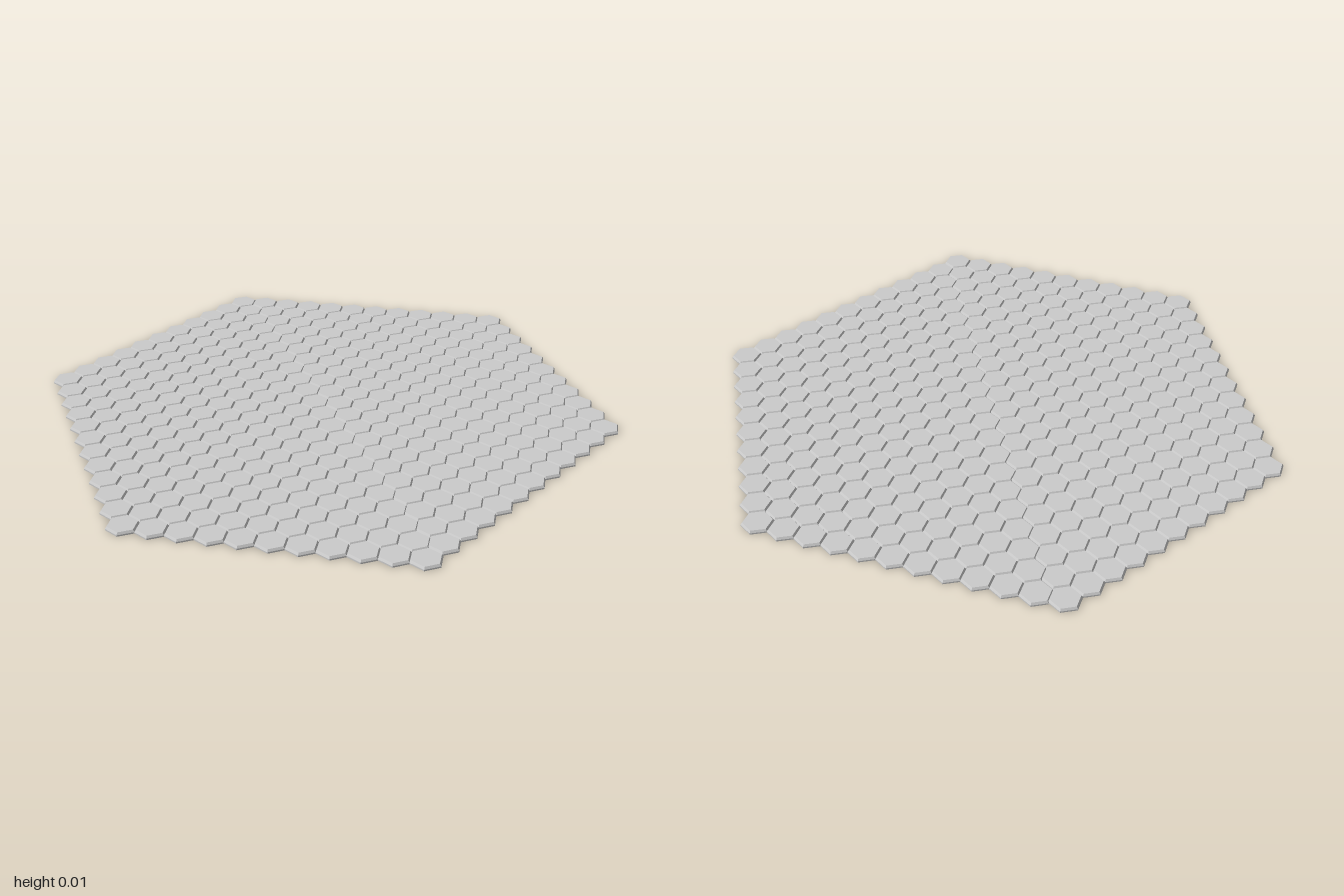
import * as THREE from 'three';
import { mergeGeometries } from 'three/addons/utils/BufferGeometryUtils.js';

const COLUMNS = 22;       // columns across x
const APEX = 10;          // index of the longest column
const LONGEST = 22;       // tiles in the longest column
const PITCH_X = 0.0784;
const PITCH_Z = 0.0909;
const RADIUS = 0.0525;
const TOP_RADIUS = 0.0475;
const HEIGHT = 0.012;

// One hexagonal tile: upright rim, bevelled shoulder, flat top and base
function makeTile() {
  const profile = [
    [0, 0], [RADIUS, 0], [RADIUS, HEIGHT * 0.4], [TOP_RADIUS, HEIGHT], [0, HEIGHT],
  ].map(([r, y]) => new THREE.Vector2(r, y));
  // corners point along x
  return new THREE.LatheGeometry(profile, 6, Math.PI / 2);
}

export function createModel() {
  const model = new THREE.Group();
  model.name = 'hexTileFloor';
  const material = new THREE.MeshStandardMaterial({ color: 0xcccccc, flatShading: true });
  const tile = makeTile();

  // Columns shorten by one tile per step away from the longest one
  for (let i = 0; i < COLUMNS; i++) {
    const count = LONGEST - Math.abs(i - APEX);
    const x = (i - (COLUMNS - 1) / 2) * PITCH_X;
    const shift = i > APEX ? -0.007 : 0; // this half sits slightly further back
    const tiles = [];
    for (let j = 0; j < count; j++) {
      const z = (j - (count - 1) / 2) * PITCH_Z + shift;
      tiles.push(tile.clone().translate(x, 0, z));
    }
    const column = new THREE.Mesh(mergeGeometries(tiles), material);
    column.name = `tileColumn${i + 1}`;
    model.add(column);
  }
  return model;
}
